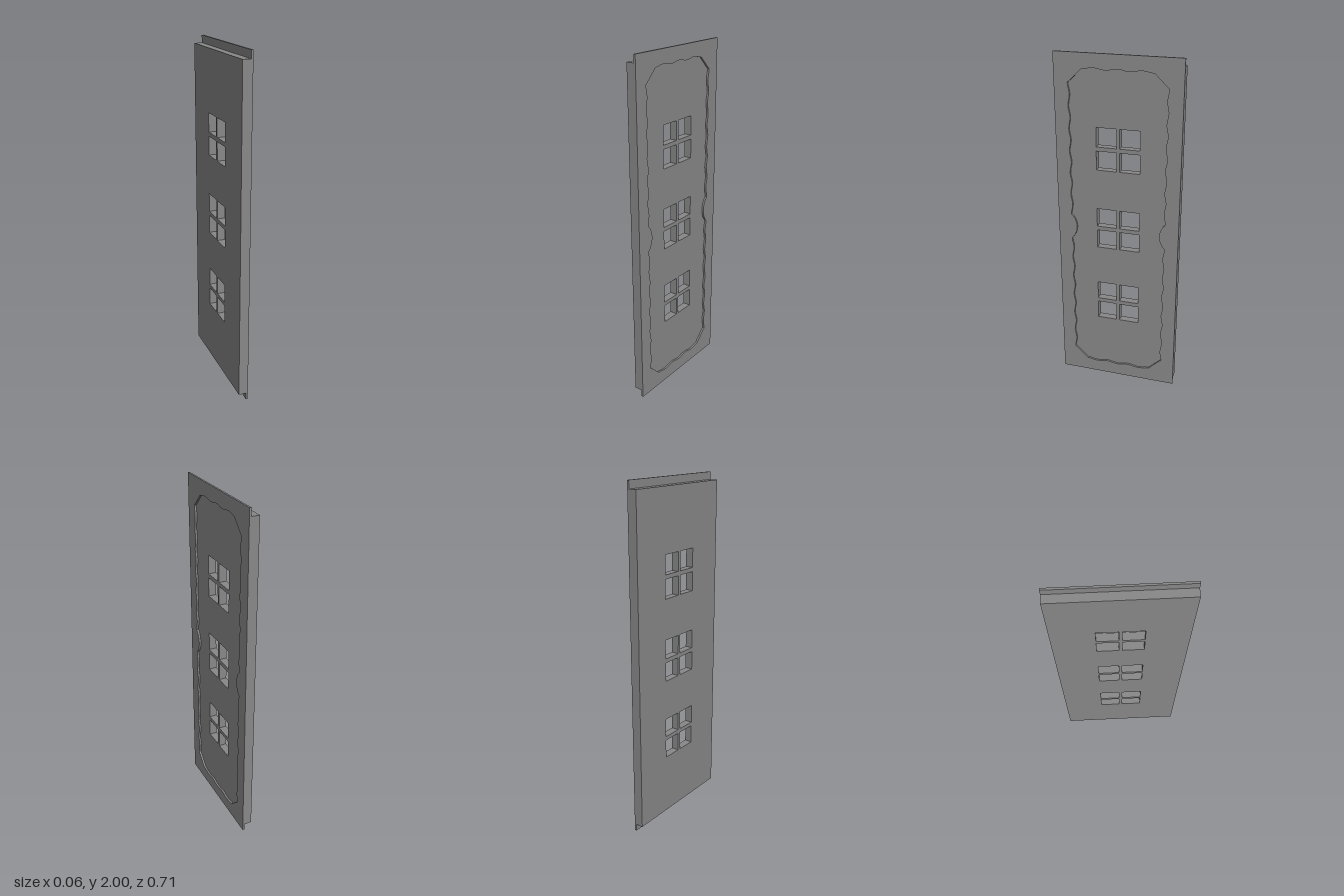
import * as THREE from 'three';

const W = 0.355; // half width along z

function rectPoints(x0, y0, x1, y1) {
  return [[x0, y0], [x1, y0], [x1, y1], [x0, y1]].map(([x, y]) => new THREE.Vector2(x, y));
}

// Extrudes a shape drawn in (-z, y) along +x, between x0 and x1
function panel(name, shape, x0, x1, material) {
  const geometry = new THREE.ExtrudeGeometry(shape, { depth: x1 - x0, bevelEnabled: false });
  geometry.rotateY(Math.PI / 2).translate(x0, 0, 0);
  const mesh = new THREE.Mesh(geometry, material);
  mesh.name = name;
  return mesh;
}

// Wavy opening: one quarter is generated, then mirrored
function wavyOutline() {
  const q = [];
  const steps = 6;
  const ripple = (i) => Math.cos(i / steps * 2 * Math.PI);
  // rounded bow at mid height
  for (let i = 0; i < 6; i++) {
    const t = i / 6;
    q.push([0.245 + 0.028 * t * t, 0.075 * t]);
  }
  // six ripples up the side
  for (let i = 0; i <= 6 * steps; i++) {
    q.push([0.273 + 0.005 * ripple(i), 0.075 + 0.765 * i / (6 * steps)]);
  }
  // cut corner, then one and a half ripples along the top to the middle
  q.push([0.263, 0.852]);
  for (let i = 0; i <= 1.5 * steps; i++) {
    q.push([0.2 * (1 - i / (1.5 * steps)), 0.919 - 0.005 * ripple(i)]);
  }
  const half = q.concat(q.slice(0, -1).reverse().map(([x, y]) => [-x, y]));
  const full = half.concat(half.slice(1, -1).reverse().map(([x, y]) => [x, -y]));
  return full.map(([x, y]) => new THREE.Vector2(x, 1 + y));
}

export function createModel() {
  const group = new THREE.Group();
  group.name = 'windowedPanel';
  const material = new THREE.MeshStandardMaterial({ color: 0x888888, flatShading: true });

  // Wall slab with three windows of four panes each
  const wall = new THREE.Shape(rectPoints(-W, 0.043, W, 1.957));
  for (const y of [0.4, 0.88, 1.358]) {
    for (const x of [-0.125, 0.009]) {
      for (const dy of [0, 0.134]) {
        wall.holes.push(new THREE.Path(rectPoints(x, y + dy, x + 0.116, y + dy + 0.11)));
      }
    }
  }
  group.add(panel('wall', wall, -0.028, 0.017, material));

  // Thin facing frame around the wavy recess
  const frame = new THREE.Shape(rectPoints(-W, 0, W, 2));
  frame.holes.push(new THREE.Path(wavyOutline()));
  group.add(panel('facingFrame', frame, 0.017, 0.028, material));

  return group;
}
